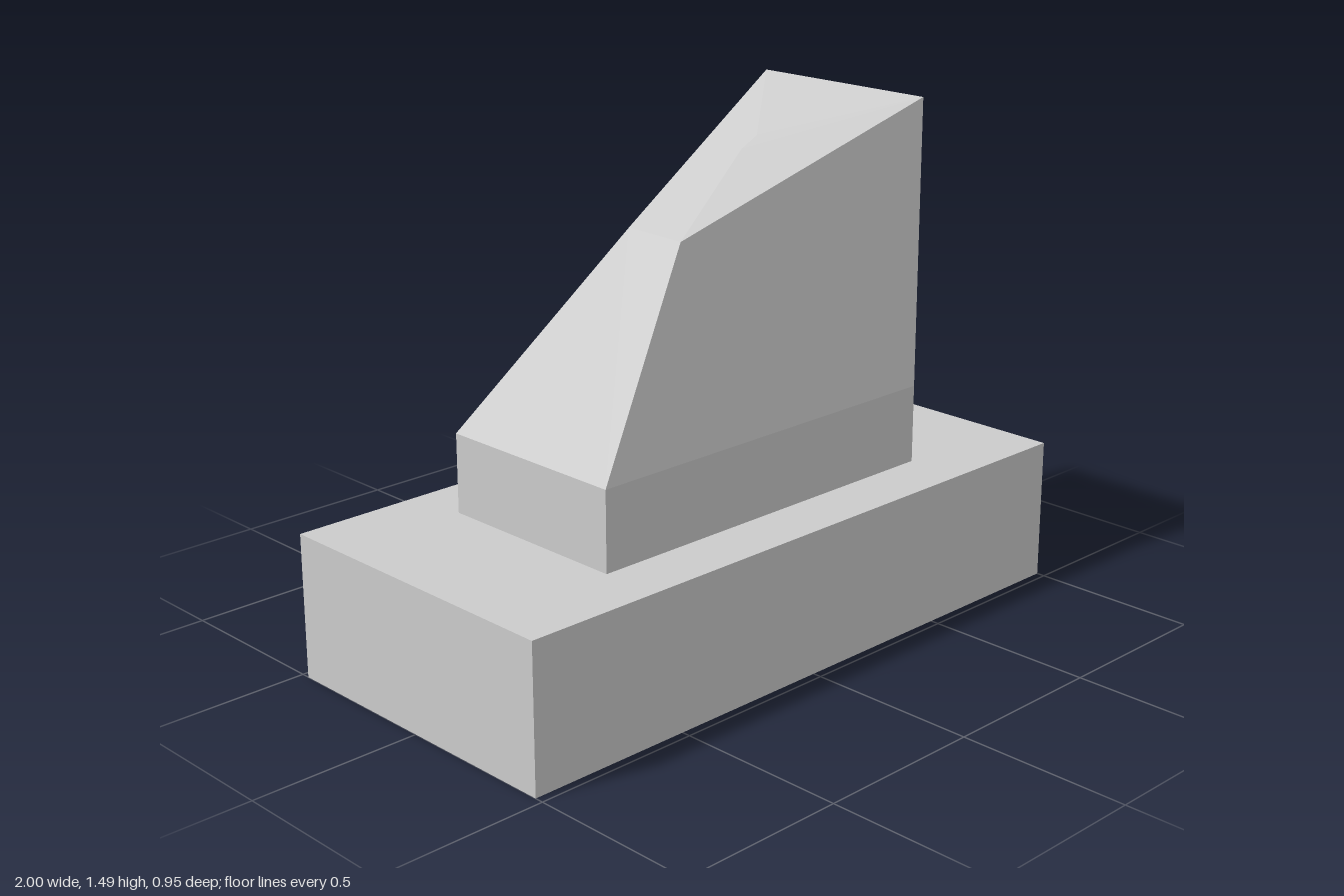
import * as THREE from 'three';

const grey = new THREE.MeshStandardMaterial({ color: 0xcccccc });

function block(name, w, h, d, bottom) {
  const mesh = new THREE.Mesh(new THREE.BoxGeometry(w, h, d), grey);
  mesh.position.y = bottom + h / 2;
  mesh.name = name;
  return mesh;
}

// Fans each polygon from its first corner, with one shared normal per polygon
function facetGeometry(polygons) {
  const positions = [], normals = [];
  for (const poly of polygons) {
    const p = poly.map((v) => new THREE.Vector3(...v));
    const normal = new THREE.Vector3();
    p.forEach((v, i) => normal.add(v.clone().cross(p[(i + 1) % p.length])));
    normal.normalize();
    for (let i = 1; i < p.length - 1; i++) {
      for (const v of [p[0], p[i], p[i + 1]]) {
        positions.push(v.x, v.y, v.z);
        normals.push(normal.x, normal.y, normal.z);
      }
    }
  }
  const geometry = new THREE.BufferGeometry();
  geometry.setAttribute('position', new THREE.Float32BufferAttribute(positions, 3));
  geometry.setAttribute('normal', new THREE.Float32BufferAttribute(normals, 3));
  return geometry;
}

export function createModel() {
  const group = new THREE.Group();
  group.name = 'taperedMonument';

  // Plinth and the straight foot of the stone
  group.add(block('plinth', 2, 0.42, 0.95, 0));
  group.add(block('stoneFoot', 1.2, 0.23, 0.6, 0.42));

  // Corners where the sloping stone meets its foot
  const y = 0.65;
  const lowFront = [-0.6, y, 0.3], lowBack = [-0.6, y, -0.3];
  const footFront = [0.6, y, 0.3], footBack = [0.6, y, -0.3];
  // Shoulder, ridge and high edge
  const shoulderFront = [-0.17, 1.185, 0.13], shoulderBack = [-0.16, 1.185, -0.08];
  const ridgeLow = [0.16, 1.37, 0.03], ridgeHigh = [0.25, 1.39, 0];
  const highFront = [0.6, 1.49, 0.3], highBack = [0.6, 1.49, -0.3];

  const stone = new THREE.Mesh(facetGeometry([
    [lowFront, footFront, highFront, shoulderFront],                       // front
    [lowBack, shoulderBack, highBack, footBack],                           // back
    [lowFront, shoulderFront, shoulderBack, lowBack],                      // slope
    [footFront, footBack, highBack, highFront],                            // tall end
    [shoulderBack, shoulderFront, ridgeLow, ridgeHigh, highBack],          // rear top
    [shoulderFront, highFront, ridgeLow],                                  // front top
    [ridgeLow, highFront, ridgeHigh],
    [ridgeHigh, highFront, highBack],                                      // end top
  ]), grey);
  stone.name = 'slopingStone';
  group.add(stone);

  return group;
}
